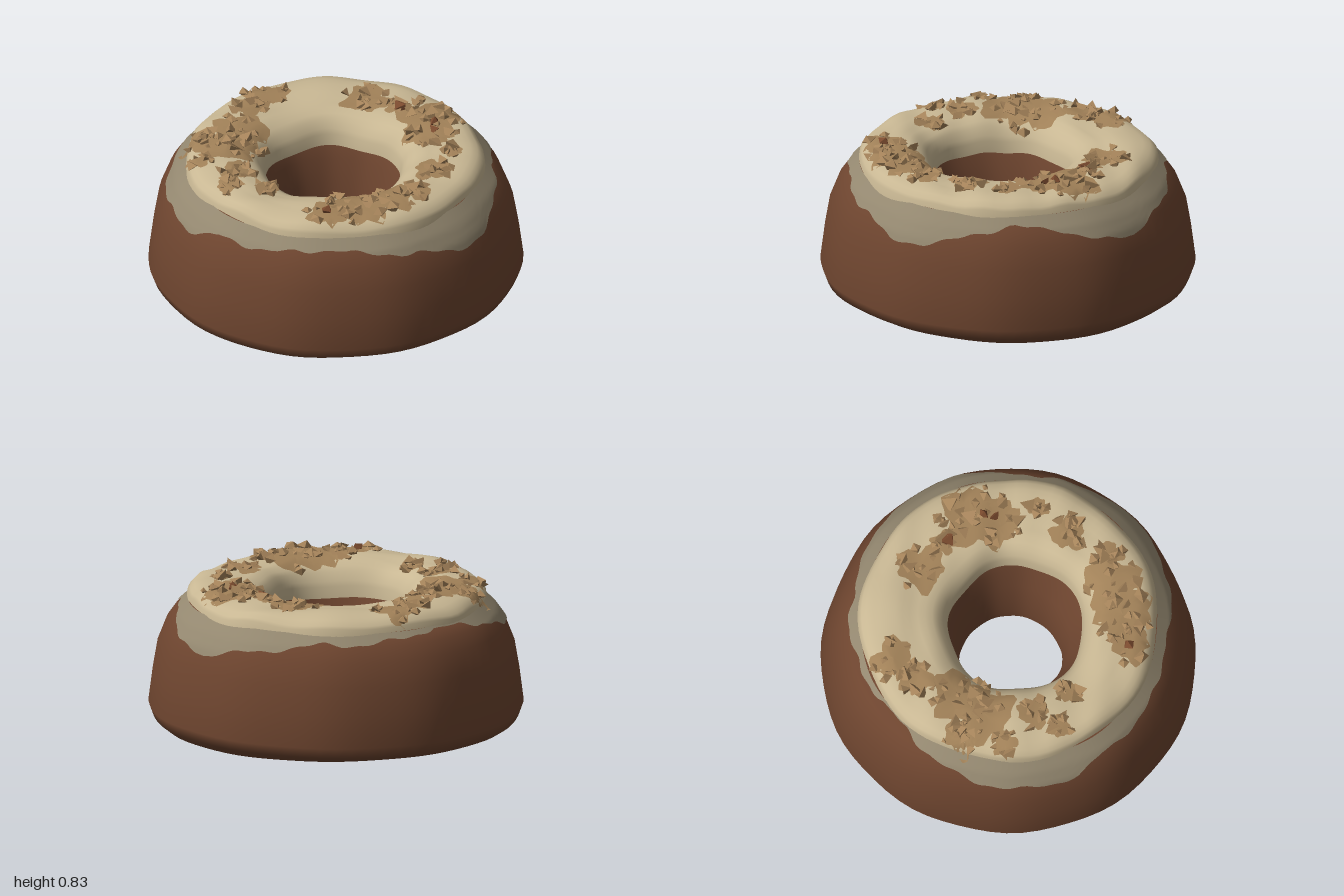
import * as THREE from 'three';
import { mergeGeometries } from 'three/addons/utils/BufferGeometryUtils.js';

const mat = (name, color, extra = {}) => new THREE.MeshStandardMaterial({ name, color, ...extra });

// small seeded random generator
let seed = 7;
const rand = () => {
  seed = (seed * 16807) % 2147483647;
  return seed / 2147483647;
};

// piecewise linear lookup in [[key, value], ...] with rising keys
function lookup(table, k) {
  for (let i = 1; i < table.length; i++) {
    const [k0, v0] = table[i - 1], [k1, v1] = table[i];
    if (k <= k1) return v0 + (v1 - v0) * Math.max(0, (k - k0) / (k1 - k0));
  }
  return table[table.length - 1][1];
}

// surface swept around y: point(row, angle) gives [x, y, z]
function sweep(rows, segs, point) {
  const pos = [], index = [];
  for (let i = 0; i < rows; i++)
    for (let j = 0; j < segs; j++) pos.push(...point(i, (j / segs) * Math.PI * 2));
  for (let i = 0; i < rows - 1; i++)
    for (let j = 0; j < segs; j++) {
      const n = (j + 1) % segs, a = i * segs + j, b = i * segs + n;
      index.push(a, a + segs, b, b, a + segs, b + segs);
    }
  const g = new THREE.BufferGeometry();
  g.setAttribute('position', new THREE.Float32BufferAttribute(pos, 3));
  g.setIndex(index);
  g.computeVertexNormals();
  return g;
}

// cake side wall: radius by height, slightly uneven around
const SIDE = [[0.13, 1], [0.3, 0.978], [0.45, 0.952], [0.57, 0.905], [0.64, 0.855], [0.7, 0.79]];
const uneven = (a) => 1 - 0.005 * (1 + Math.sin(3 * a + 1)) - 0.004 * (1 + Math.sin(11 * a));
const holeShift = (a) => 0.025 * Math.cos(a) + 0.035 * Math.sin(a);

// height of the glaze's lower edge every 15 degrees, from +x towards +z
const DRIP = [0.53, 0.6, 0.62, 0.66, 0.64, 0.62, 0.62, 0.55, 0.57, 0.58, 0.63, 0.68,
  0.69, 0.67, 0.65, 0.66, 0.62, 0.59, 0.53, 0.56, 0.64, 0.66, 0.62, 0.54];
function dripY(a) {
  const f = (a / (Math.PI * 2)) * 24, i = Math.floor(f) % 24;
  const y = DRIP[i] + (DRIP[(i + 1) % 24] - DRIP[i]) * (f - Math.floor(f));
  return Math.min(0.69, y + 0.007 * Math.sin(13 * a) + 0.005 * Math.sin(31 * a));
}

// icing: height by position between hole edge (0) and outer edge (1)
const ICING = [[0, 0.6], [0.02, 0.66], [0.1, 0.728], [0.25, 0.768], [0.5, 0.785],
  [0.75, 0.782], [0.9, 0.765], [0.98, 0.725], [1, 0.67]];
const holeR = (a) => 0.355 + holeShift(a) + 0.01 * Math.sin(5 * a + 1);
const rimR = (a) => 0.795 + 0.008 * Math.sin(7 * a);
const bump = (x, z) => 0.009 * Math.sin(11 * x + 1) * Math.sin(10 * z) + 0.004 * Math.sin(23 * x + 17 * z);
function icingY(x, z) {
  const a = Math.atan2(z, x), r0 = holeR(a);
  return lookup(ICING, (Math.hypot(x, z) - r0) / (rimR(a) - r0)) + bump(x, z);
}

// nut patches: x, z, radius
const PATCHES = [[0.16, -0.57, 0.17], [0.24, -0.46, 0.11], [-0.23, -0.48, 0.12], [-0.06, -0.53, 0.06],
  [-0.64, -0.14, 0.11], [-0.6, 0.02, 0.09], [-0.47, 0.22, 0.14], [-0.42, 0.38, 0.15], [-0.58, 0.42, 0.09],
  [-0.2, 0.53, 0.08], [0.02, 0.54, 0.06], [-0.13, 0.67, 0.06], [-0.42, 0.58, 0.06], [0.55, 0.15, 0.14],
  [0.5, 0.34, 0.15], [0.44, 0.5, 0.1], [0.52, -0.2, 0.09], [0.47, -0.41, 0.05], [0.63, 0.02, 0.07]];

function patchGeometry([px, pz, size], k) {
  return sweep(5, 32, (i, a) => {
    const ragged = 1 + 0.17 * Math.sin(3 * a + k) + 0.12 * Math.sin(5 * a + 2 * k) + 0.08 * Math.sin(9 * a + k);
    const r = size * ragged * (1 - i / 4);
    const x = px + r * Math.cos(a), z = pz + r * Math.sin(a);
    return [x, icingY(x, z) + 0.006, z];
  });
}

// one jagged, flattened shard resting on the icing
function shard(x, z, size) {
  const g = rand() < 0.5 ? new THREE.OctahedronGeometry(size) : new THREE.TetrahedronGeometry(size * 1.2);
  g.rotateX(rand() * 6).rotateY(rand() * 6);
  g.scale(0.8 + rand() * 0.6, 0.65 + rand() * 0.4, 0.8 + rand() * 0.6);
  return g.translate(x, icingY(x, z) + size * 0.35, z);
}

export function createModel() {
  seed = 7;
  const group = new THREE.Group();
  const add = (name, geometry, material) => {
    const mesh = new THREE.Mesh(geometry, material);
    mesh.name = name;
    group.add(mesh);
  };
  const cakeBrown = mat('cake brown', 0x6e452f);
  const glazeGrey = mat('glaze grey beige', 0x93876f);
  const icingCream = mat('icing cream', 0xc8b793);
  const nutTan = mat('nut tan', 0xa18158);
  const nutShard = mat('nut shard tan', 0xa5835a, { flatShading: true });
  const nutBrown = mat('dark nut brown', 0x7a4a2e, { flatShading: true });

  // cake ring: radius, height, and how far the point follows the hole's shift
  const cake = [[0.28, 0.02, 0.3], [0.5, 0.012, 0], [0.8, 0.012, 0], [0.92, 0.035, 0], [0.98, 0.075, 0],
    ...SIDE.map(([y, r]) => [r, y, 0]),
    [0.6, 0.71, 0.3], [0.43, 0.69, 1], [0.385, 0.61, 1], [0.355, 0.53, 0.9],
    [0.31, 0.4, 0.5], [0.285, 0.25, 0.3], [0.275, 0.1, 0.3], [0.28, 0.02, 0.3]];
  add('cakeRing', sweep(cake.length, 72, (i, a) => {
    const [r0, y, w] = cake[i];
    const r = r0 * uneven(a) + w * holeShift(a);
    const sag = i > 0 && i < 4 ? 0.008 * Math.sin(2 * a + 1) : 0;
    return [r * Math.cos(a), y + sag, r * Math.sin(a)];
  }), cakeBrown);

  // thin glaze running down the shoulder
  add('glazeDrip', sweep(9, 180, (i, a) => {
    const y = dripY(a) + (0.7 - dripY(a)) * (i / 8);
    const r = lookup(SIDE, y) * uneven(a) + 0.005;
    return [r * Math.cos(a), y + 0.002, r * Math.sin(a)];
  }), glazeGrey);

  // thick icing on top
  const steps = [1, 0.98, 0.95, 0.9, 0.82, 0.75, 0.66, 0.58, 0.5, 0.42, 0.33, 0.25, 0.17, 0.1, 0.05, 0.02, 0];
  add('icing', sweep(steps.length, 96, (i, a) => {
    const r = holeR(a) + (rimR(a) - holeR(a)) * steps[i];
    const x = r * Math.cos(a), z = r * Math.sin(a);
    return [x, lookup(ICING, steps[i]) + bump(x, z), z];
  }), icingCream);

  // ground nut patches
  add('nutPatches', mergeGeometries(PATCHES.map(patchGeometry)), nutTan);

  // loose nut shards scattered over the patches
  const shards = [];
  for (const [px, pz, size] of PATCHES) {
    const count = Math.round(4 + size * 70);
    for (let n = 0; n < count; n++) {
      const a = rand() * Math.PI * 2, r = size * Math.sqrt(rand()) * 1.15;
      shards.push(shard(px + r * Math.cos(a), pz + r * Math.sin(a), 0.016 + rand() * 0.022));
    }
  }
  add('nutShards', mergeGeometries(shards), nutShard);

  // a few dark nut pieces
  const dark = [[-0.03, -0.53, 0.04], [0.21, -0.54, 0.035], [0.25, -0.5, 0.03], [0.43, 0.5, 0.035]];
  add('darkNuts', mergeGeometries(dark.map((d) => shard(...d))), nutBrown);

  return group;
}
